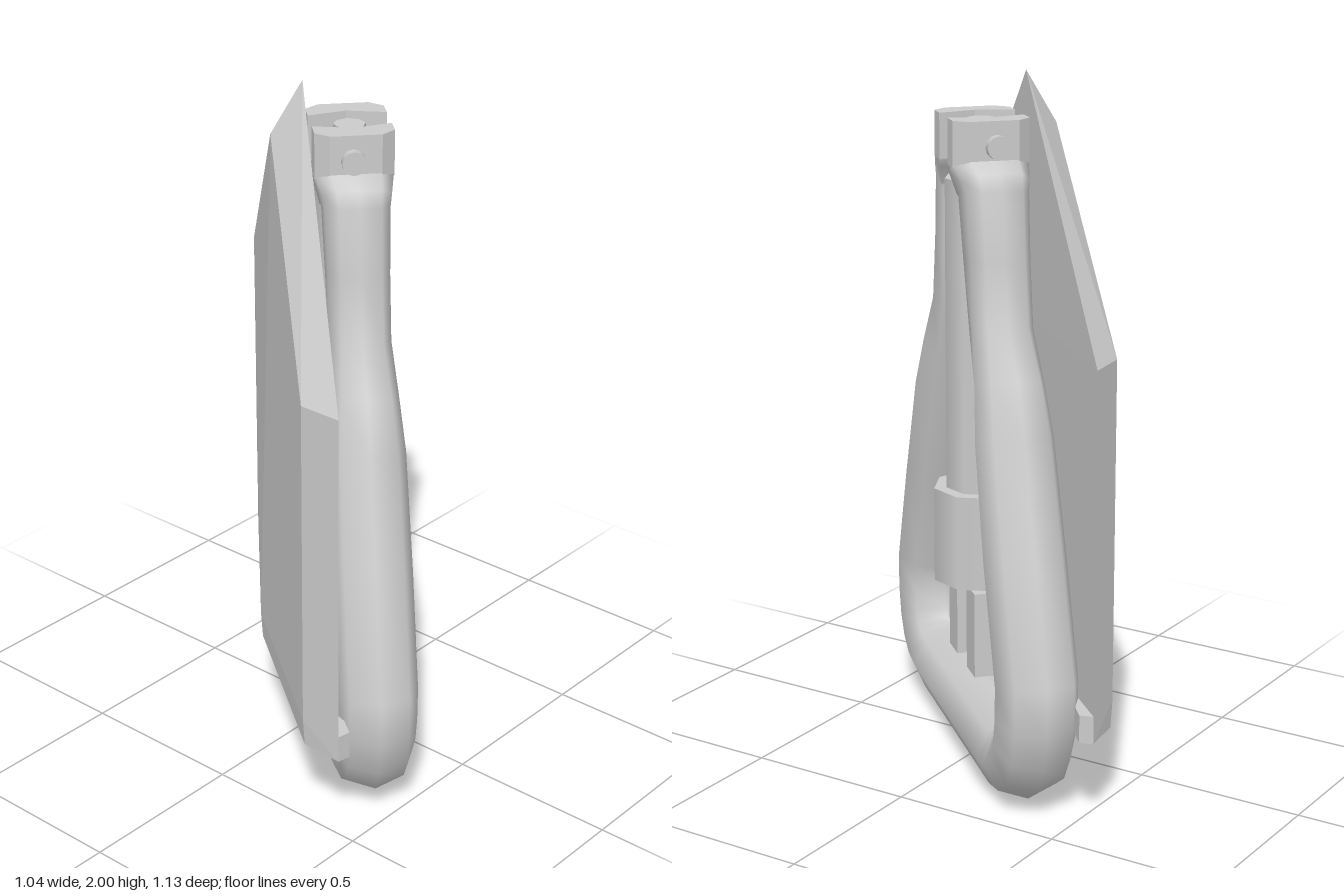
import * as THREE from 'three';
import { ConvexGeometry } from 'three/addons/geometries/ConvexGeometry.js';

const AXIS = 0.043; // depth of the shaft and handle plane

const material = (flat) => new THREE.MeshStandardMaterial({ color: 0xcccccc, flatShading: flat });

function add(group, name, geometry, flat = true) {
  const mesh = new THREE.Mesh(geometry, material(flat));
  mesh.name = name;
  group.add(mesh);
  return mesh;
}

// Clamp cross-section: boxy outside, hollowed toward the shaft (inward, depth)
const CLAMP = [[0.4, 0], [1, 1], [-0.25, 1], [-1, 0.65], [-1, 0], [-1, -0.65], [-0.25, -1], [1, -1]];

// Eight-sided tube through stations [x, y, half width, half depth, blend to clamp section]
function loft(stations) {
  const sides = CLAMP.length, pos = [], index = [];
  stations.forEach(([x, y, hu, hw, blend], i) => {
    const a = stations[Math.max(i - 1, 0)];
    const b = stations[Math.min(i + 1, stations.length - 1)];
    const d1 = new THREE.Vector2(x - a[0], y - a[1]).normalize();
    const d2 = new THREE.Vector2(b[0] - x, b[1] - y).normalize();
    const t = d1.add(d2).normalize();
    CLAMP.forEach(([cu, cw], j) => {
      const ang = (j / sides) * Math.PI * 2;
      const u = THREE.MathUtils.lerp(Math.cos(ang), cu, blend) * hu;
      const w = THREE.MathUtils.lerp(Math.sin(ang), cw, blend) * hw;
      pos.push(x - t.y * u, y + t.x * u, AXIS + w);
      if (i < stations.length - 1) {
        const k = (j + 1) % sides, p = i * sides, q = p + sides;
        index.push(p + j, p + k, q + j, p + k, q + k, q + j);
      }
    });
  });
  const g = new THREE.BufferGeometry();
  g.setAttribute('position', new THREE.Float32BufferAttribute(pos, 3));
  g.setIndex(index);
  g.computeVertexNormals();
  return g;
}

// Upright octagonal bar between two heights
function bar(group, name, radius, y0, y1) {
  const g = new THREE.CylinderGeometry(radius, radius, y1 - y0, 8);
  g.rotateY(Math.PI / 2);
  add(group, name, g, false).position.set(0, (y0 + y1) / 2, AXIS);
}

// Pin lying across the tool
function pin(group, name, radius, length, y, z) {
  const g = new THREE.CylinderGeometry(radius, radius, length, 12);
  g.rotateZ(Math.PI / 2);
  add(group, name, g, false).position.set(0, y, z);
}

const hull = (points) => new ConvexGeometry(points.map((p) => new THREE.Vector3(...p)));

export function createModel() {
  const model = new THREE.Group();
  const tool = new THREE.Group();
  tool.name = 'foldedShovel';
  tool.rotation.y = THREE.MathUtils.degToRad(48.3);
  model.add(tool);

  // Handle: octagonal at the grip, rounded corners, hollowed boxy section at the top
  const r = 0.109, d = 0.119;
  const corner = new THREE.QuadraticBezierCurve(
    new THREE.Vector2(0.37, r), new THREE.Vector2(0.575, 0.115), new THREE.Vector2(0.565, 0.4));
  const half = [
    [0.2, r, r, d, 0],
    ...corner.getPoints(5).map((p) => [p.x, p.y, r, d, 0]),
    [0.45, 0.71, r, d, 0],
    [0.34, 1.03, r, 0.113, 0],
    [0.285, 1.17, 0.096, 0.1, 0.2],
    [0.212, 1.31, 0.072, 0.087, 0.6],
    [0.18, 1.5, 0.07, 0.086, 0.9],
    [0.15, 1.685, 0.068, 0.09, 1],
    [0.142, 1.71, 0.064, 0.095, 1],
    [0.092, 1.752, 0.045, 0.108, 1],
    [0.09, 1.77, 0.044, 0.109, 1],
  ];
  const mirrored = half.map(([x, ...rest]) => [-x, ...rest]).reverse();
  add(tool, 'handle', loft([...mirrored, ...half]), false);

  // Clamping tabs continuing the handle ends around the post
  for (const s of [-1, 1]) {
    const shape = new THREE.Shape(
      CLAMP.map(([u, w]) => new THREE.Vector2(s * (0.09 - 0.045 * u), -AXIS - 0.11 * w)));
    const g = new THREE.ExtrudeGeometry(shape, { depth: 0.13, bevelEnabled: false });
    g.rotateX(-Math.PI / 2);
    add(tool, s > 0 ? 'leftTab' : 'rightTab', g).position.y = 1.752;
  }
  pin(tool, 'handlePin', 0.034, 0.32, 1.81, 0.035);

  // Shaft, collar and end posts
  bar(tool, 'shaft', 0.107, 0.6, 1.705);
  bar(tool, 'collar', 0.144, 0.52, 0.8);
  bar(tool, 'upperPost', 0.045, 1.7, 1.87);
  bar(tool, 'lowerPost', 0.045, 0.35, 0.53);

  // Hinge lugs joining the collar to the blade
  for (const s of [-1, 1]) {
    const lug = add(tool, s > 0 ? 'leftLug' : 'rightLug', new THREE.BoxGeometry(0.09, 0.255, 0.285));
    lug.position.set(s * 0.099, 0.388, -0.037);
  }
  pin(tool, 'hingePin', 0.032, 0.31, 0.385, 0.025);

  // Pointed blade with bevelled edges and a ridge that thins toward the tip
  const blade = [[0, 2, -0.086], [0, 1.85, -0.175], [0, 0.34, -0.22]];
  for (const s of [-1, 1]) {
    for (const y of [0.34, 1.31]) blade.push([s * 0.692, y, -0.08], [s * 0.594, y, -0.166]);
  }
  add(tool, 'blade', hull(blade));

  // Bottom lip of the blade, shallow V in front
  for (const s of [-1, 1]) {
    const lip = [];
    for (const [y, inset] of [[0.34, 0], [0.26, 0.005]]) {
      lip.push([0, y, -0.22 + inset], [s * 0.594, y, -0.166 + inset], [s * 0.692, y, -0.08],
        [s * 0.672, y, -0.046], [0, y, -0.12]);
    }
    add(tool, s > 0 ? 'leftLip' : 'rightLip', hull(lip));
  }
  return model;
}
